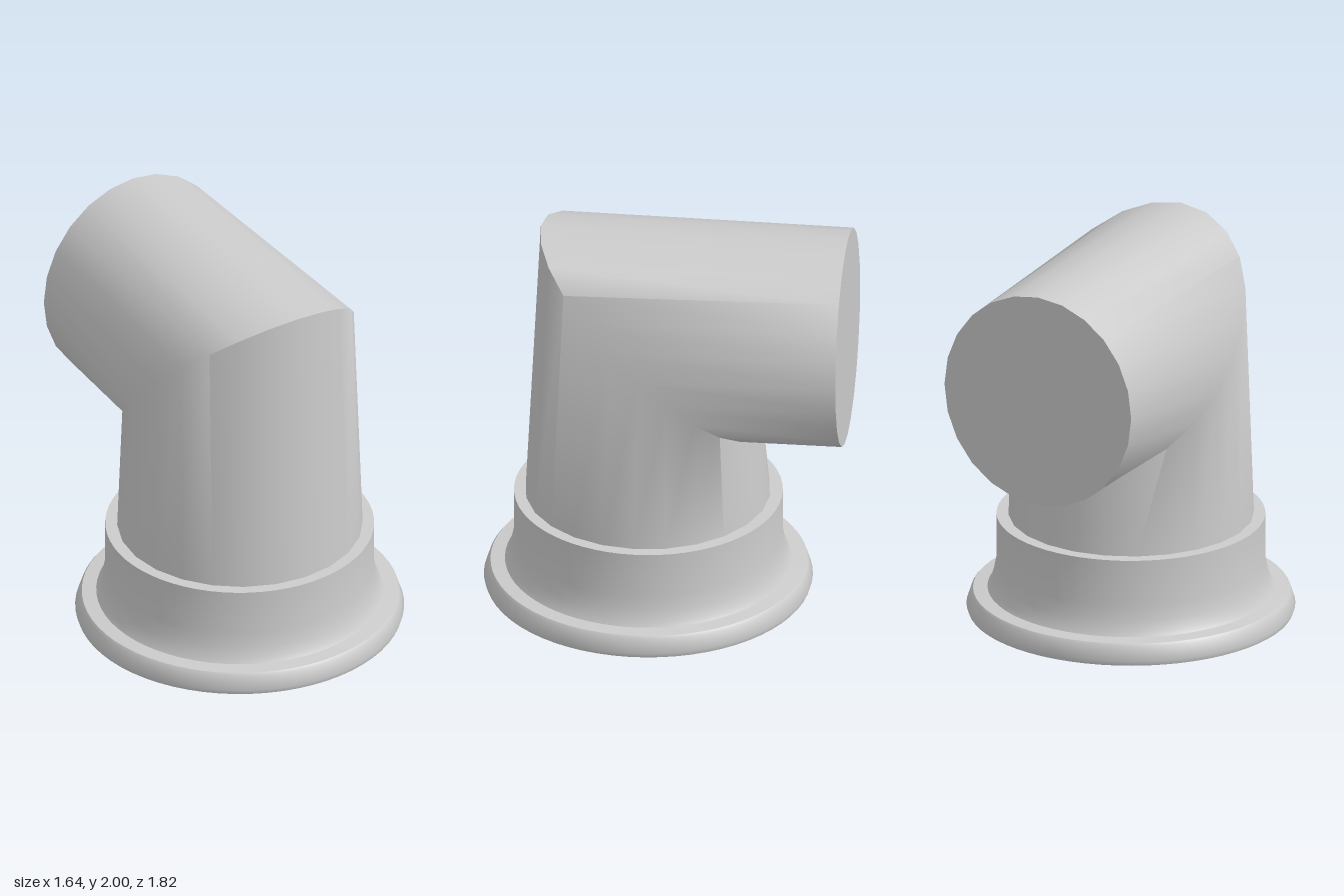
import * as THREE from 'three';
import { toCreasedNormals } from 'three/addons/utils/BufferGeometryUtils.js';

const SIDES = 24;
const AXIS_Z = 0.09; // vertical axis of the base

// Skin a row of elliptical rings; each ring is [centreY, centreZ, halfWidth, armY, armZ]
function loft(rings, capEnd, inward) {
  const pos = [], idx = [];
  const tri = (a, b, c) => (inward ? idx.push(a, c, b) : idx.push(a, b, c));
  for (const [cy, cz, rx, vy, vz] of rings) {
    for (let j = 0; j < SIDES; j++) {
      const a = (j / SIDES) * Math.PI * 2;
      pos.push(rx * Math.sin(a), cy + vy * Math.cos(a), cz + vz * Math.cos(a));
    }
  }
  for (let i = 0; i < rings.length - 1; i++) {
    for (let j = 0; j < SIDES; j++) {
      const k = (j + 1) % SIDES;
      const a = i * SIDES + j, b = i * SIDES + k;
      tri(a, b, b + SIDES);
      tri(a, b + SIDES, a + SIDES);
    }
  }
  if (capEnd) {
    const last = rings.length - 1, c = pos.length / 3;
    pos.push(0, rings[last][0], rings[last][1]);
    for (let j = 0; j < SIDES; j++) tri(last * SIDES + j, last * SIDES + ((j + 1) % SIDES), c);
  }
  const geo = new THREE.BufferGeometry();
  geo.setAttribute('position', new THREE.Float32BufferAttribute(pos, 3));
  geo.setIndex(idx);
  return toCreasedNormals(geo, 1.1);
}

export function createModel() {
  const group = new THREE.Group();
  const material = new THREE.MeshStandardMaterial({ color: 0xcccccc });
  const add = (name, geometry) => {
    const mesh = new THREE.Mesh(geometry, material);
    mesh.name = name;
    group.add(mesh);
    return mesh;
  };

  // Tapered pipe: upright leg, mitred corner, horizontal leg with a closed end
  add('elbowPipe', loft([
    [0.45, 0.0925, 0.615, 0, 0.615],
    [0.51, 0.0925, 0.612, 0, 0.612],
    [1.4425, 0.075, 0.585, 0.5375, 0.555],
    [1.445, -0.91, 0.525, 0.555, 0],
  ], true, false));

  // Inner wall of the pipe, seen through the open base
  add('pipeLining', loft([
    [0.54, AXIS_Z, 0.57, 0, 0.57],
    [1.4425, 0.075, 0.54, 0.495, 0.51],
    [1.445, -0.88, 0.485, 0.51, 0],
  ], true, true));

  // Socket collar: bore, hollow underside, flared flange, straight wall, top rim
  const profile = [
    [0.57, 0.56], [0.57, 0.07], [0.58, 0.05], [0.61, 0.05], [0.615, 0.1], [0.67, 0.1],
    [0.78, 0.005], [0.795, 0], [0.812, 0.005], [0.82, 0.03], [0.797, 0.1], [0.787, 0.113],
    [0.715, 0.12], [0.7, 0.145], [0.685, 0.195], [0.67, 0.27], [0.67, 0.51], [0.59, 0.51],
  ].map(([r, y]) => new THREE.Vector2(r, y));
  const collar = add('flangedCollar', toCreasedNormals(new THREE.LatheGeometry(profile, 64), 0.7));
  collar.position.z = AXIS_Z;

  return group;
}
